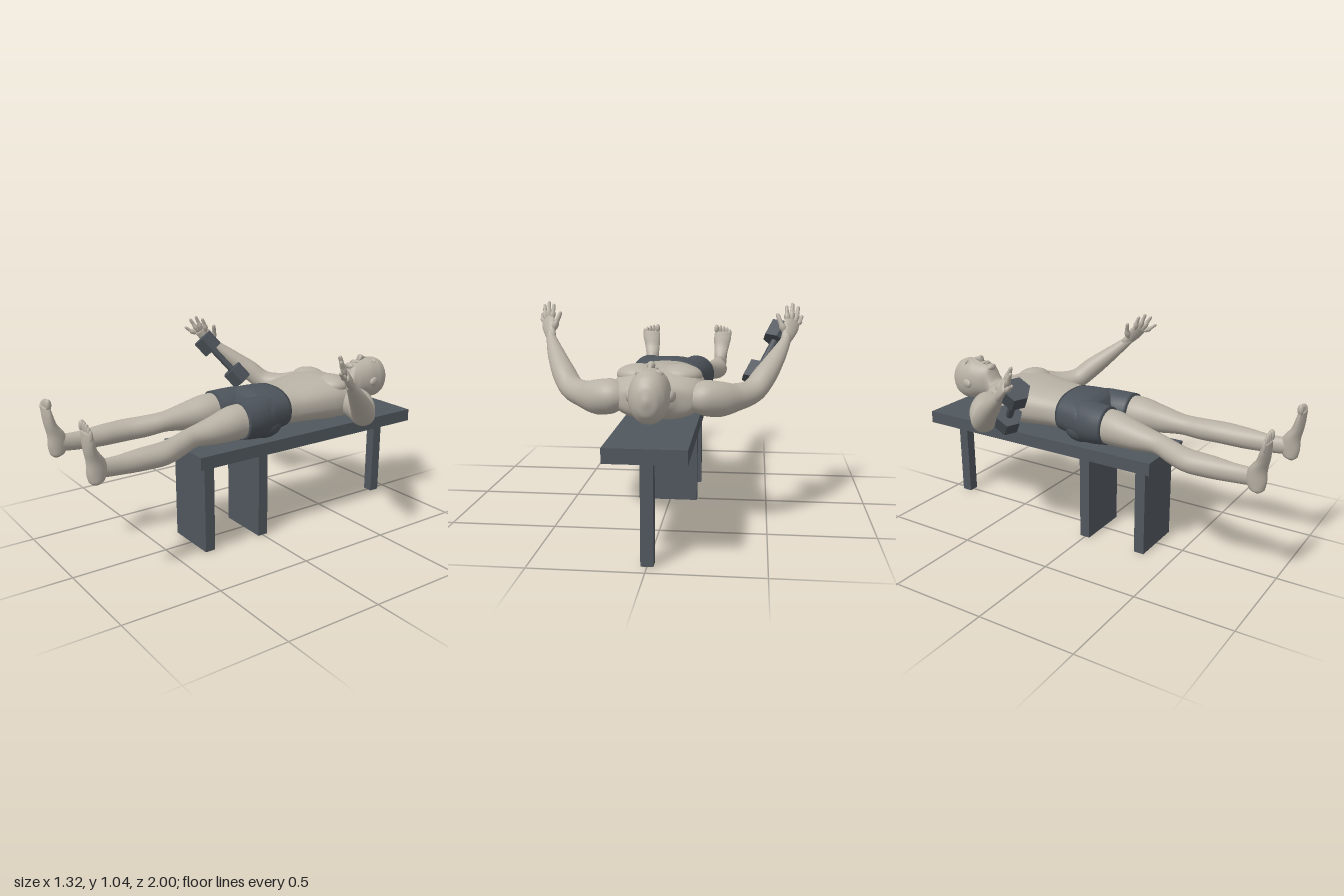
import * as THREE from 'three';

const V = (p) => new THREE.Vector3(p[0], p[1], p[2]);
const X = [1, 0, 0], Y = [0, 1, 0], Z = [0, 0, 1];

// Smooth skin through oval rings [x, y, z, a, b]; a lies along "side", b across it.
// With "dir" every ring faces that way, otherwise rings follow the path.
function sweep(rings, { side = X, dir = null, power = 2, seg = 28, sub = 5 } = {}) {
  const path = new THREE.CatmullRomCurve3(rings.map(V));
  const sizes = new THREE.CatmullRomCurve3(rings.map((r) => new THREE.Vector3(r[3], r[4], 0)));
  const n = (rings.length - 1) * sub, pos = [], idx = [];
  const bend = (v) => Math.sign(v) * Math.abs(v) ** (2 / power);
  for (let i = 0; i <= n; i++) {
    const c = path.getPoint(i / n), s = sizes.getPoint(i / n);
    const t = dir ? V(dir) : path.getTangent(i / n);
    const u = V(side).addScaledVector(t, -V(side).dot(t)).normalize();
    const w = t.clone().cross(u);
    for (let j = 0; j < seg; j++) {
      const q = (j / seg) * Math.PI * 2;
      const p = c.clone().addScaledVector(u, s.x * bend(Math.cos(q))).addScaledVector(w, s.y * bend(Math.sin(q)));
      pos.push(p.x, p.y, p.z);
      if (i < n) {
        const a = i * seg + j, b = i * seg + (j + 1) % seg;
        idx.push(a, b, a + seg, b, b + seg, a + seg);
      }
    }
  }
  // end caps
  const last = n * seg, end = pos.length / 3;
  pos.push(...rings[0].slice(0, 3), ...rings[rings.length - 1].slice(0, 3));
  for (let j = 0; j < seg; j++) {
    const k = (j + 1) % seg;
    idx.push(end, k, j, end + 1, last + j, last + k);
  }
  const g = new THREE.BufferGeometry();
  g.setAttribute('position', new THREE.Float32BufferAttribute(pos, 3));
  g.setIndex(idx);
  g.computeVertexNormals();
  return g;
}

// Body sections along z: [z, halfWidth, top, bottom]
const sections = (list) => list.map(([z, w, top, bot]) => [0, (top + bot) / 2, z, w, (top - bot) / 2]);

export function createModel() {
  const model = new THREE.Group();
  const mat = (name, color) => Object.assign(new THREE.MeshStandardMaterial({ color }), { name });
  const skin = mat('skin', 0xb8b1a5), cloth = mat('shorts cloth', 0x4c535a);
  const benchMat = mat('bench grey', 0x50575d), iron = mat('iron', 0x4b5259);

  const add = (name, geo, m) => {
    const mesh = new THREE.Mesh(geo, m);
    mesh.name = name;
    model.add(mesh);
    return mesh;
  };
  const ball = (name, c, r, m = skin) => {
    const mesh = add(name, new THREE.SphereGeometry(1, 24, 16), m);
    mesh.position.set(...c);
    mesh.scale.set(...r);
    return mesh;
  };
  const box = (name, w, y0, y1, z0, z1) =>
    add(name, new THREE.BoxGeometry(w, y1 - y0, z1 - z0), benchMat).position.set(0, (y0 + y1) / 2, (z0 + z1) / 2);

  // Bench
  box('benchTop', 0.35, 0.455, 0.52, -1, 0.39);
  box('benchFrontPanel', 0.28, 0, 0.455, 0.295, 0.35);
  box('benchMiddlePanel', 0.28, 0, 0.455, -0.03, 0.025);
  box('benchRearPost', 0.055, 0, 0.455, -0.935, -0.88);

  // Head and neck
  add('head', sweep(sections([
    [-0.946, 0.008, 0.705, 0.685], [-0.932, 0.045, 0.755, 0.635], [-0.9, 0.073, 0.795, 0.602],
    [-0.86, 0.085, 0.812, 0.588], [-0.81, 0.087, 0.815, 0.59], [-0.765, 0.083, 0.808, 0.605],
    [-0.725, 0.073, 0.802, 0.612], [-0.695, 0.06, 0.792, 0.612], [-0.677, 0.06, 0.755, 0.605],
    [-0.655, 0.066, 0.72, 0.592], [-0.62, 0.08, 0.715, 0.575],
  ]), { dir: Z, power: 2.1, seg: 36 }), skin);
  add('nose', sweep([
    [0, 0.808, -0.82, 0.008, 0.006], [0, 0.816, -0.79, 0.01, 0.012],
    [0, 0.82, -0.768, 0.018, 0.018], [0, 0.808, -0.756, 0.012, 0.008],
  ], { dir: Z, seg: 14 }), skin);
  ball('upperLip', [0, 0.803, -0.733], [0.026, 0.009, 0.007]);
  ball('lowerLip', [0, 0.8, -0.72], [0.022, 0.01, 0.007]);
  ball('chin', [0, 0.782, -0.695], [0.03, 0.018, 0.017]);

  // Torso and shorts
  add('torso', sweep(sections([
    [-0.665, 0.066, 0.715, 0.595], [-0.645, 0.1, 0.715, 0.58], [-0.62, 0.165, 0.722, 0.562],
    [-0.58, 0.2, 0.745, 0.548], [-0.52, 0.213, 0.77, 0.54], [-0.45, 0.213, 0.778, 0.54],
    [-0.38, 0.205, 0.774, 0.545], [-0.28, 0.188, 0.763, 0.552], [-0.2, 0.173, 0.755, 0.555],
    [-0.14, 0.168, 0.752, 0.552],
  ]), { dir: Z, power: 2.4, seg: 44 }), skin);
  add('shortsHips', sweep(sections([
    [-0.155, 0.173, 0.757, 0.548], [-0.08, 0.186, 0.76, 0.535], [-0.01, 0.198, 0.757, 0.53],
    [0.03, 0.17, 0.735, 0.545], [0.055, 0.09, 0.69, 0.58],
  ]), { dir: Z, power: 2.4, seg: 44 }), cloth);

  for (const s of [1, -1]) {
    const side = s > 0 ? 'left' : 'right';
    const flip = (rings) => rings.map(([x, ...rest]) => [x * s, ...rest]);
    const limb = (name, rings, o = {}, m = skin) =>
      add(side + name, sweep(flip(rings), { ...o, side: o.side ? flip([o.side])[0] : X }), m);

    // Face and chest details
    ball(side + 'Ear', [s * 0.09, 0.695, -0.8], [0.014, 0.024, 0.034]).rotation.y = s * 0.25;
    ball(side + 'Eye', [s * 0.033, 0.797, -0.815], [0.016, 0.01, 0.008]);
    ball(side + 'Brow', [s * 0.035, 0.797, -0.835], [0.024, 0.014, 0.008]);
    ball(side + 'Chest', [s * 0.095, 0.735, -0.48], [0.1, 0.05, 0.085]);

    // Leg
    ball(side + 'Buttock', [s * 0.095, 0.6, -0.03], [0.095, 0.077, 0.1], cloth);
    limb('ShortsLeg', [
      [0.105, 0.642, -0.06, 0.08, 0.1], [0.108, 0.64, 0, 0.094, 0.107],
      [0.113, 0.641, 0.06, 0.1, 0.104], [0.122, 0.645, 0.135, 0.094, 0.096],
    ], { dir: Z }, cloth);
    limb('Leg', [
      [0.122, 0.643, 0.08, 0.086, 0.088], [0.125, 0.642, 0.18, 0.087, 0.086],
      [0.136, 0.63, 0.3, 0.07, 0.068], [0.146, 0.621, 0.42, 0.055, 0.05],
      [0.172, 0.608, 0.5, 0.058, 0.053], [0.203, 0.598, 0.6, 0.061, 0.054],
      [0.205, 0.594, 0.72, 0.053, 0.052], [0.206, 0.592, 0.83, 0.036, 0.045],
      [0.208, 0.595, 0.9, 0.031, 0.042], [0.211, 0.6, 0.95, 0.032, 0.04],
    ], { dir: Z });

    // Foot with toes pointing up
    limb('Foot', [
      [0.214, 0.53, 0.948, 0.012, 0.012], [0.214, 0.545, 0.944, 0.032, 0.034],
      [0.214, 0.59, 0.938, 0.037, 0.048], [0.215, 0.64, 0.943, 0.04, 0.042],
      [0.219, 0.69, 0.965, 0.046, 0.028], [0.224, 0.74, 0.975, 0.053, 0.021],
      [0.226, 0.78, 0.98, 0.05, 0.014],
    ], { dir: Y });
    [[0.186, 0.822, 0.014], [0.211, 0.819, 0.01], [0.232, 0.814, 0.01], [0.252, 0.806, 0.009], [0.27, 0.794, 0.009]]
      .forEach(([x, top, r], i) => ball(side + 'Toe' + (i + 1), [s * x, top - 0.026, 0.98], [r, 0.027, r * 1.05]));

    // Arm
    limb('Arm', [
      [0.14, 0.645, -0.555, 0.05, 0.06], [0.21, 0.645, -0.55, 0.08, 0.085],
      [0.275, 0.637, -0.53, 0.08, 0.075], [0.345, 0.637, -0.475, 0.063, 0.066],
      [0.42, 0.655, -0.41, 0.055, 0.06], [0.472, 0.712, -0.35, 0.054, 0.056],
      [0.53, 0.792, -0.262, 0.041, 0.042], [0.573, 0.862, -0.185, 0.028, 0.024],
      [0.583, 0.885, -0.165, 0.027, 0.019],
    ], { side: Y });

    // Hand
    const across = [0.8, -0.35, 0.5];
    limb('Palm', [
      [0.57, 0.86, -0.188, 0.025, 0.02], [0.586, 0.893, -0.158, 0.035, 0.02],
      [0.599, 0.925, -0.13, 0.043, 0.018], [0.609, 0.95, -0.107, 0.04, 0.013],
    ], { side: across });
    const finger = (name, a, b, c, r) =>
      limb(name, [[...a, r, r], [...b, r, r], [...c, r * 0.8, r * 0.8],
        [...c.map((v, i) => v + (c[i] - b[i]) * 0.18), r * 0.2, r * 0.2]], { side: across, seg: 10, sub: 4 });
    finger('Thumb', [0.572, 0.893, -0.162], [0.55, 0.94, -0.16], [0.533, 0.982, -0.148], 0.012);
    finger('IndexFinger', [0.582, 0.945, -0.128], [0.578, 0.985, -0.115], [0.577, 1.018, -0.1], 0.01);
    finger('MiddleFinger', [0.601, 0.947, -0.112], [0.604, 0.994, -0.092], [0.606, 1.029, -0.077], 0.01);
    finger('RingFinger', [0.618, 0.942, -0.1], [0.629, 0.981, -0.077], [0.635, 1.012, -0.057], 0.01);
    finger('LittleFinger', [0.632, 0.93, -0.09], [0.646, 0.948, -0.062], [0.655, 0.967, -0.037], 0.009);
  }

  // Hexagonal dumbbell by the right hand
  const a = V([-0.54, 0.885, -0.11]), b = V([-0.44, 0.705, -0.24]);
  const dumbbell = new THREE.Group();
  dumbbell.name = 'dumbbell';
  dumbbell.position.copy(a).lerp(b, 0.5);
  dumbbell.quaternion.setFromUnitVectors(V(Y), a.clone().sub(b).normalize());
  const half = a.distanceTo(b) / 2;
  const handle = new THREE.Mesh(new THREE.CylinderGeometry(0.018, 0.018, half * 2, 16), iron);
  handle.name = 'dumbbellHandle';
  dumbbell.add(handle);
  for (const s of [1, -1]) {
    const head = new THREE.Mesh(new THREE.CylinderGeometry(0.064, 0.064, 0.09, 6).toNonIndexed(), iron);
    head.geometry.computeVertexNormals();
    head.name = 'dumbbellHead';
    head.position.y = s * half;
    dumbbell.add(head);
  }
  model.add(dumbbell);
  return model;
}
